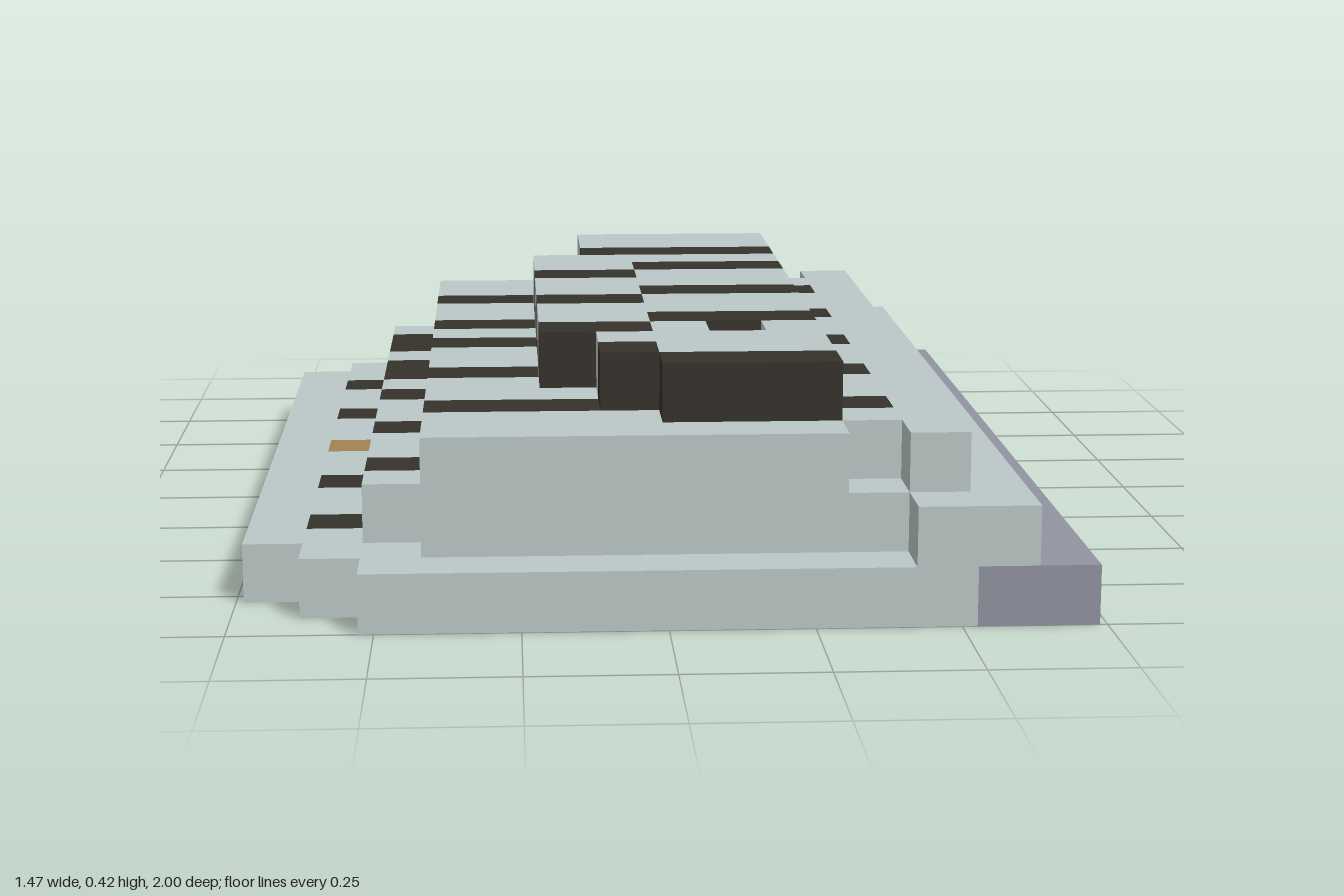
import * as THREE from 'three';
import { mergeGeometries } from 'three/addons/utils/BufferGeometryUtils.js';

// Block grid: 14 wide (x), 4 high (y), 19 deep (z)
const U = 2 / 19, NX = 14, NZ = 19;

const material = (name, color) => Object.assign(new THREE.MeshStandardMaterial({ color }), { name });

// Outward directions with the rotation that turns a +z plane towards them
const H = Math.PI / 2;
const SIDES = [
  [1, 0, 0, 0, H], [-1, 0, 0, 0, -H],
  [0, 1, 0, -H, 0], [0, -1, 0, H, 0],
  [0, 0, 1, 0, 0], [0, 0, -1, 0, Math.PI],
];

export function createModel() {
  const grey = material('paleGrey', 0xbbc8c7);
  const purple = material('greyPurple', 0x9194a1);
  const black = material('darkBrownBlack', 0x35322b);
  const gold = material('gold', 0xa08352);
  const red = material('darkRed', 0x733e38);

  const blocks = new Map();
  const key = (x, y, z) => `${x},${y},${z}`;
  const partMaterial = {};

  // Fill inclusive cell ranges with a part; later fills replace earlier ones
  const fill = (part, mat, y, x0, x1, z0, z1 = z0) => {
    partMaterial[part] = mat;
    for (let x = x0; x <= x1; x++)
      for (let z = z0; z <= z1; z++) blocks.set(key(x, y, z), { part, x, y, z });
  };

  // Base plate with stepped corners on one long side
  fill('basePlate', grey, 0, 0, 13, 2, 16);
  fill('basePlate', grey, 0, 1, 13, 1, 17);
  fill('basePlate', grey, 0, 2, 13, 0, 18);
  fill('edgeRail', purple, 0, 12, 13, 0, 18);

  // Stepped tiers
  fill('lowerTier', grey, 1, 2, 12, 2, 16);
  fill('middleTier', grey, 2, 3, 11, 2, 16);
  for (const [outer, inner] of [[0, 1], [18, 17]]) {
    fill('lowerTier', grey, 1, 11, 12, outer);
    fill('lowerTier', grey, 1, 10, 12, inner);
    fill('middleTier', grey, 2, 11, 11, inner);
  }
  fill('lowerTier', grey, 1, 3, 10, 17);
  fill('middleTier', grey, 2, 3, 9, 17);
  fill('upperTier', grey, 3, 6, 9, 2, 15);
  fill('upperTier', grey, 3, 5, 9, 5, 13);
  fill('upperTier', grey, 3, 7, 9, 16);

  // Small pit in the top
  blocks.delete(key(8, 3, 13));

  // Dark bands follow the topmost block along each row: [z, x0, x1]
  const bands = [
    [3, 1, 2], [3, 10, 10], [4, 2, 9],
    [6, 1, 2], [6, 7, 10], [7, 2, 6],
    [9, 2, 4], [9, 7, 10], [10, 5, 6],
    [12, 1, 4], [12, 7, 10], [13, 5, 6],
    [15, 1, 6], [15, 10, 10], [16, 7, 9],
  ];
  for (const [z, x0, x1] of bands)
    for (let x = x0; x <= x1; x++) {
      let y = 3;
      while (!blocks.has(key(x, y, z))) y--;
      fill('darkBands', black, y, x, x, z);
    }

  // Underside: feet, red bar and gold tracks, mirrored front to back
  fill('goldTracks', gold, 0, 1, 10, 9);
  for (const z of [8, 10]) {
    fill('goldTracks', gold, 0, 8, 9, z - 0);
    fill('goldTracks', gold, 0, 7, 8, z);
    fill('goldTracks', gold, 0, 4, 4, z);
  }
  for (const z of [8, 10]) fill('basePlate', grey, 0, 9, 9, z);
  fill('basePlate', grey, 0, 10, 10, 9);
  fill('goldTracks', gold, 0, 9, 9, 9);
  for (const [z, step] of [[5, -1], [13, 1]]) {
    fill('goldTracks', gold, 0, 2, 5, z);
    fill('goldTracks', gold, 0, 5, 7, z + step);
    fill('goldTracks', gold, 0, 8, 9, z);
    fill('goldTracks', gold, 0, 2, 2, z + step);
  }
  fill('goldTracks', gold, 0, 7, 7, 13);
  fill('redBar', red, 0, 11, 11, 1, 17);
  for (const z of [1, 17]) fill('railFeet', black, 0, 12, 12, z);

  // Emit only the exposed block faces, gathered per part
  const faces = {};
  for (const { part, x, y, z } of blocks.values())
    for (const [dx, dy, dz, rx, ry] of SIDES) {
      if (blocks.has(key(x + dx, y + dy, z + dz))) continue;
      const face = new THREE.PlaneGeometry(U, U).rotateX(rx).rotateY(ry).translate(
        (x + 0.5 - NX / 2 + dx / 2) * U,
        (y + 0.5 + dy / 2) * U,
        (z + 0.5 - NZ / 2 + dz / 2) * U);
      (faces[part] ??= []).push(face);
    }

  const group = new THREE.Group();
  group.name = 'steppedBlockModel';
  for (const [part, list] of Object.entries(faces)) {
    const mesh = new THREE.Mesh(mergeGeometries(list), partMaterial[part]);
    mesh.name = part;
    group.add(mesh);
  }
  return group;
}
